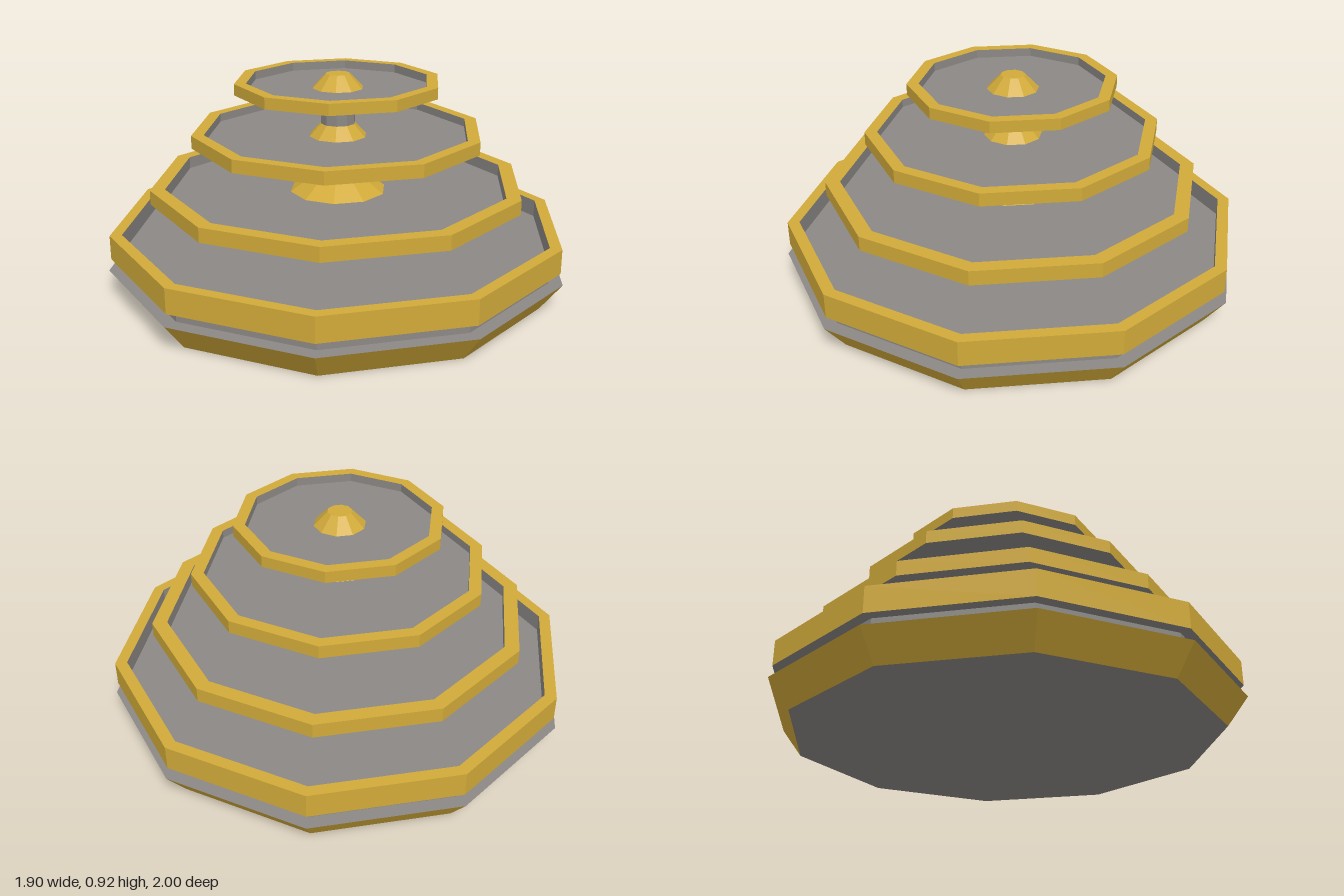
import * as THREE from 'three';

const SIDES = 10;

export function createModel() {
  const model = new THREE.Group();
  model.name = 'tieredFountain';
  const stone = new THREE.MeshStandardMaterial({ color: 0x8b8885, flatShading: true });
  const gold = new THREE.MeshStandardMaterial({ color: 0xd1aa39, flatShading: true });

  // Ten-sided turned part; the profile runs up the outside, [radius, height]
  function turned(name, profile, material, parent = model) {
    const points = profile.map(([r, y]) => new THREE.Vector2(r, y));
    const mesh = new THREE.Mesh(new THREE.LatheGeometry(points, SIDES), material);
    mesh.name = name;
    parent.add(mesh);
  }

  // Bowl: gold outer wall and lip, stone underside, inner wall and floor
  function bowl(name, { r, inner, bottom, top, floor, hubR, hubY }) {
    const group = new THREE.Group();
    group.name = name;
    model.add(group);
    turned('rim', [[r, bottom], [r, top], [inner, top]], gold, group);
    turned('basin', [[inner, top], [inner, floor], [0, floor]], stone, group);
    turned('underside', [[0, hubY], [hubR, hubY], [r, bottom]], stone, group);
  }

  // Plinth: flared gold skirt, stone sole, ledge and recessed neck
  turned('plinthSkirt', [[0.91, 0], [1, 0.12]], gold);
  turned('plinthSole', [[0, 0], [0.91, 0]], stone);
  turned('plinthNeck', [[1, 0.12], [0.94, 0.12], [0.94, 0.17]], stone);

  // Four bowls, largest at the bottom
  bowl('poolBowl', { r: 0.988, inner: 0.937, bottom: 0.17, top: 0.276, floor: 0.2, hubR: 0.5, hubY: 0.17 });
  bowl('lowerBowl', { r: 0.81, inner: 0.747, bottom: 0.402, top: 0.464, floor: 0.412, hubR: 0.09, hubY: 0.402 });
  bowl('middleBowl', { r: 0.628, inner: 0.575, bottom: 0.635, top: 0.69, floor: 0.655, hubR: 0.08, hubY: 0.603 });
  bowl('upperBowl', { r: 0.442, inner: 0.392, bottom: 0.852, top: 0.9, floor: 0.864, hubR: 0.08, hubY: 0.783 });

  // Stems between the bowls
  turned('lowerStem', [[0.17, 0.2], [0.09, 0.405]], stone);
  turned('middleStem', [[0.085, 0.498], [0.048, 0.61]], stone);
  turned('upperStem', [[0.075, 0.71], [0.075, 0.79]], stone);

  // Gold collars at the stem feet and the finial
  turned('lowerCollar', [[0.21, 0.412], [0.135, 0.464], [0.08, 0.5], [0, 0.5]], gold);
  turned('middleCollar', [[0.125, 0.655], [0.07, 0.714], [0, 0.714]], gold);
  turned('finial', [[0.11, 0.864], [0.052, 0.924], [0, 0.924]], gold);

  return model;
}
